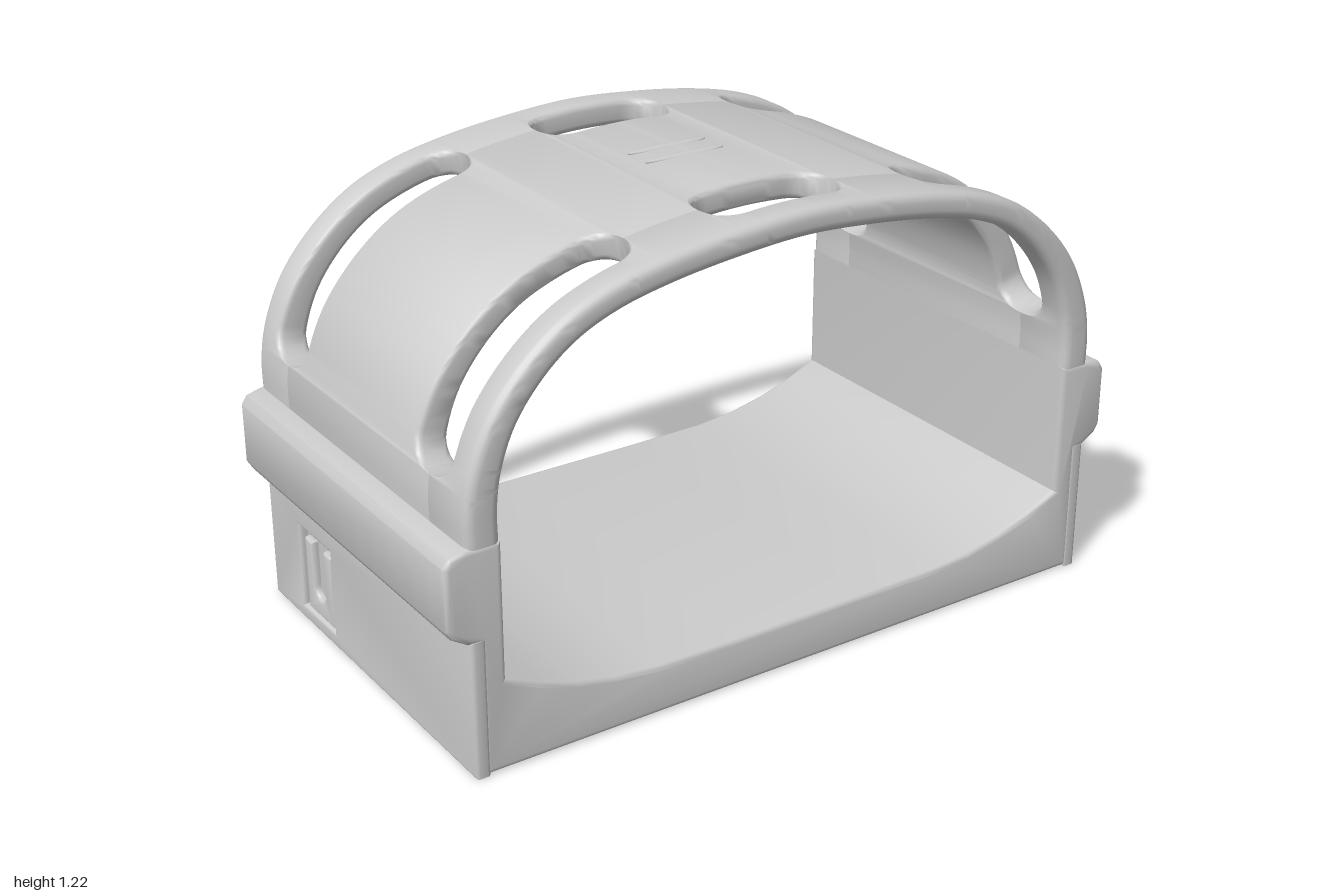
import * as THREE from 'three';
import { toCreasedNormals } from 'three/addons/utils/BufferGeometryUtils.js';

const HALF_DEPTH = 0.545;
const SLOT_Z = 0.37, SLOT_R = 0.08;
const material = new THREE.MeshStandardMaterial({ color: 0xcccccc });

function addMesh(group, name, geometry, crease = 0.6) {
  const mesh = new THREE.Mesh(toCreasedNormals(geometry, crease), material);
  mesh.name = name;
  group.add(mesh);
  return mesh;
}

const mirrorX = (pts) => [...pts, ...pts.slice().reverse().filter(([x]) => x !== 0).map(([x, y]) => [-x, y])];
const toShape = (pts) => new THREE.Shape(pts.map(([x, y]) => new THREE.Vector2(x, y)));

function extrude(shape, depth, bevel) {
  return new THREE.ExtrudeGeometry(shape, {
    depth: depth - 2 * bevel, bevelEnabled: true, bevelThickness: bevel,
    bevelSize: bevel, bevelOffset: -bevel, bevelSegments: 3, curveSegments: 10,
  }).translate(0, 0, bevel);
}

// Outer line of the arch, from the left wall over the top to the right wall
const archCurve = new THREE.CatmullRomCurve3(
  mirrorX([[0.94, 0.6], [0.94, 0.68], [0.922, 0.78], [0.87, 0.9], [0.78, 1.01], [0.67, 1.095],
    [0.55, 1.147], [0.4, 1.182], [0.2, 1.208], [0, 1.22]]).map(([x, y]) => new THREE.Vector3(x, y, 0)),
  false, 'centripetal');
archCurve.arcLengthDivisions = 800;
const archLength = archCurve.getLength();

// Distance along the arch at which the test first becomes true
function findAlong(test) {
  for (let i = 0; i <= 800; i++) if (test(archCurve.getPointAt(i / 800))) return (i / 800) * archLength;
  return archLength;
}

// Slot spans along the arch: one in the crown, one on each shoulder
const slotLow = findAlong((p) => p.y > 0.72), slotHigh = findAlong((p) => p.x < 0.41);
const slots = [
  [slotLow, slotHigh],
  [findAlong((p) => p.x < 0.2), findAlong((p) => p.x < -0.2)],
  [archLength - slotHigh, archLength - slotLow],
];

function slotHalfWidth(s) {
  for (const [a, b] of slots) {
    const d = Math.min(s - a, b - s);
    if (d > 0) return d > SLOT_R ? SLOT_R : Math.sqrt(SLOT_R ** 2 - (SLOT_R - d) ** 2);
  }
  return 0;
}

// Stations are closer together around the rounded slot ends
function archStations() {
  const list = [];
  for (let i = 0; i <= 100; i++) list.push((i / 100) * archLength);
  for (const [a, b] of slots) {
    for (let k = 0; k <= 10; k++) {
      const d = SLOT_R * (1 - Math.cos((k / 10) * Math.PI / 2));
      list.push(a + d, b - d);
    }
  }
  return list.sort((a, b) => a - b).filter((s, i, all) => i === 0 || s - all[i - 1] > 1e-5);
}

// Rounded rectangle in (z, depth below the outer skin)
function bandSection(z0, z1, r0, r1, t) {
  const pts = [];
  const corners = [[z0 + r0, -t + r0, r0, 2], [z1 - r1, -t + r1, r1, 3], [z1 - r1, -r1, r1, 0], [z0 + r0, -r0, r0, 1]];
  for (const [z, h, r, quarter] of corners) {
    for (let k = 0; k <= 4; k++) {
      const a = (quarter + k / 4) * Math.PI / 2;
      pts.push([z + r * Math.cos(a), h + r * Math.sin(a)]);
    }
  }
  return pts;
}

// Sweep one band of the arch; limits(w) gives its z range and corner radii
function archBand(limits) {
  const position = [], index = [];
  const stations = archStations();
  const n = 20;
  stations.forEach((s, i) => {
    const u = Math.min(1, s / archLength);
    const p = archCurve.getPointAt(u), t = archCurve.getTangentAt(u);
    const thickness = THREE.MathUtils.lerp(0.09, 0.07, THREE.MathUtils.smoothstep(p.y, 0.65, 1.1));
    for (const [z, h] of bandSection(...limits(slotHalfWidth(s)), thickness)) {
      position.push(p.x + t.y * h, p.y - t.x * h, z);
    }
    if (i === 0) return;
    for (let j = 0; j < n; j++) {
      const a = (i - 1) * n + j, b = (i - 1) * n + (j + 1) % n;
      index.push(a, b, b + n, a, b + n, a + n);
    }
  });
  const geometry = new THREE.BufferGeometry();
  geometry.setAttribute('position', new THREE.Float32BufferAttribute(position, 3));
  geometry.setIndex(index);
  return geometry;
}

const slotRound = (w) => Math.max(0.0005, Math.min(0.018, w * 0.4));

function rectangle(PathType, x0, x1, y0, y1) {
  const path = new PathType();
  path.moveTo(x0, y0).lineTo(x1, y0).lineTo(x1, y1).lineTo(x0, y1).closePath();
  return path;
}

export function createModel() {
  const group = new THREE.Group();

  // Arch with slots: a front rim, the middle panel and a back rim
  const arch = new THREE.Group();
  arch.name = 'slottedArch';
  group.add(arch);
  addMesh(arch, 'frontRim', archBand((w) => [SLOT_Z + w, HALF_DEPTH, slotRound(w), 0.025]));
  addMesh(arch, 'middlePanel', archBand((w) => [-SLOT_Z + w, SLOT_Z - w, slotRound(w), slotRound(w)]));
  addMesh(arch, 'backRim', archBand((w) => [-HALF_DEPTH, -SLOT_Z - w, 0.025, slotRound(w)]));

  // Base tray with a dished floor, lower walls and side rails
  const bodyLine = mirrorX([[0.915, 0.002], [0.915, 0.355], [0.945, 0.36], [0.985, 0.385], [1, 0.41], [1, 0.57],
    [0.985, 0.593], [0.94, 0.605], [0.85, 0.605], [0.85, 0.245], [0.76, 0.205], [0.66, 0.172], [0.55, 0.148],
    [0.43, 0.136], [0.2, 0.134]]);
  addMesh(group, 'baseTray', extrude(toShape(bodyLine), 2 * HALF_DEPTH, 0.015).translate(0, 0, -HALF_DEPTH));

  for (const side of [1, -1]) {
    const sideName = side > 0 ? 'left' : 'right';
    const place = (geometry, x) => geometry.rotateY(side * Math.PI / 2).translate(side * x, 0, 0);

    // Lower side skin with a rectangular pocket near the back
    const skin = rectangle(THREE.Shape, -HALF_DEPTH, HALF_DEPTH, 0, 0.365);
    skin.holes.push(rectangle(THREE.Path, side * 0.19, side * 0.37, 0.04, 0.275));
    addMesh(group, sideName + 'SideSkin', place(extrude(skin, 0.04, 0.008), 0.9));

    // Latch pad in the pocket, with a U-shaped notch open at the top
    const mid = side * 0.28;
    const pad = new THREE.Shape();
    pad.moveTo(mid - 0.075, 0.04).lineTo(mid + 0.075, 0.04).lineTo(mid + 0.075, 0.245).lineTo(mid + 0.03, 0.245);
    pad.lineTo(mid + 0.03, 0.12).absarc(mid, 0.12, 0.03, 0, Math.PI, true);
    pad.lineTo(mid - 0.03, 0.245).lineTo(mid - 0.075, 0.245).closePath();
    addMesh(group, sideName + 'LatchPad', place(extrude(pad, 0.03, 0.008), 0.903));
  }

  // Two faint ridges on the crown
  for (const z of [-0.045, 0.035]) {
    const ridge = addMesh(group, 'crownRidge', new THREE.SphereGeometry(1, 20, 10), 1);
    ridge.scale.set(0.12, 0.007, 0.014);
    ridge.position.set(-0.01, 1.217, z);
  }
  return group;
}
